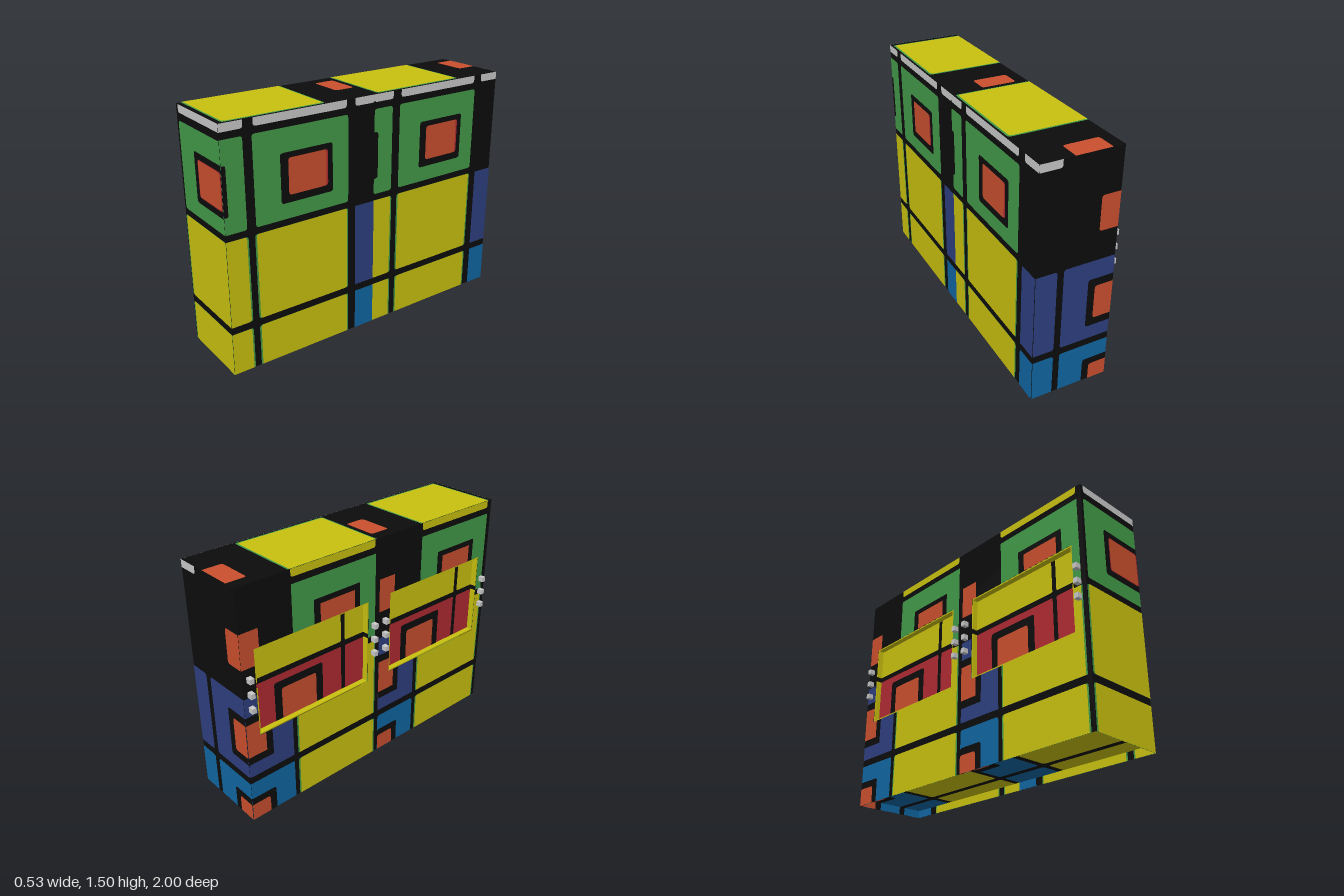
import * as THREE from 'three';

const material = (name, color) => {
  const m = new THREE.MeshStandardMaterial({ color, side: THREE.DoubleSide });
  m.name = name;
  return m;
};

const X0 = -0.232, X1 = 0.262, Z = 0.997, TOP = 1.497, FLOOR = 0.05, PANEL = -0.195;
const WINDOW = [0.09, 0.91, 0.57, 1.12]; // recess within each unit of the left side

export function createModel() {
  const model = new THREE.Group();
  model.name = 'patchworkCabinet';
  const black = material('black', 0x0c0c0c), yellow = material('yellow', 0xc9c10f);
  const green = material('green', 0x429a48), red = material('orangeRed', 0xca4f2e);
  const darkRed = material('darkRed', 0xb02a32), navy = material('navy', 0x2d3f80);
  const blue = material('blue', 0x1066a2), grey = material('lightGrey', 0xc8c8c8);

  const add = (geometry, mat, name, parent = model) => {
    const mesh = new THREE.Mesh(geometry, mat);
    mesh.name = name;
    parent.add(mesh);
    return mesh;
  };
  const box = (name, mat, x0, x1, y0, y1, z0, z1) =>
    add(new THREE.BoxGeometry(x1 - x0, y1 - y0, z1 - z0), mat, name)
      .position.set((x0 + x1) / 2, (y0 + y1) / 2, (z0 + z1) / 2);

  // A face is a plane with its own a (right), b (up) axes, outward normal and limits
  const face = (name, A, B, dist, a0, a1, b0, b1, skirt = false) => {
    const va = new THREE.Vector3(...A), vb = new THREE.Vector3(...B);
    const n = va.clone().cross(vb);
    const group = new THREE.Group();
    group.name = name;
    group.applyMatrix4(new THREE.Matrix4().makeBasis(va, vb, n).setPosition(n.multiplyScalar(dist)));
    model.add(group);
    return { name, group, lim: [a0, a1, b0, b1], skirt };
  };

  // Flat tile, rounded only at corners that lie inside its face
  const tile = (f, mat, a0, a1, b0, b1, layer = 1, radius = 0.018) => {
    const [l0, l1, m0, m1] = f.lim;
    a0 = Math.max(a0, l0); a1 = Math.min(a1, l1);
    b0 = Math.max(b0, m0); b1 = Math.min(b1, m1);
    if (a1 - a0 < 0.001 || b1 - b0 < 0.001) return;
    const r = Math.min(radius, (a1 - a0) / 2, (b1 - b0) / 2);
    const corner = (a, b) => (a <= l0 || a >= l1 || b <= m0 || b >= m1 ? 0 : r);
    const r00 = corner(a0, b0), r10 = corner(a1, b0), r11 = corner(a1, b1), r01 = corner(a0, b1);
    const s = new THREE.Shape();
    s.moveTo(a0 + r00, b0);
    s.lineTo(a1 - r10, b0);
    if (r10) s.quadraticCurveTo(a1, b0, a1, b0 + r10);
    s.lineTo(a1, b1 - r11);
    if (r11) s.quadraticCurveTo(a1, b1, a1 - r11, b1);
    s.lineTo(a0 + r01, b1);
    if (r01) s.quadraticCurveTo(a0, b1, a0, b1 - r01);
    s.lineTo(a0, b0 + r00);
    if (r00) s.quadraticCurveTo(a0, b0, a0 + r00, b0);
    add(new THREE.ShapeGeometry(s, 4), mat, mat.name + 'Tile', f.group).position.z = layer * 0.001;
    // the same colour shows on the inside of the open skirt
    if (f.skirt && b0 <= 0 && b1 > FLOOR && layer > 0) {
      add(new THREE.PlaneGeometry(a1 - a0, FLOOR), mat, mat.name + 'SkirtInside', f.group)
        .position.set((a0 + a1) / 2, FLOOR / 2, -layer * 0.001);
    }
  };
  // Yellow tile with a thin green fringe at both ends
  const fringed = (f, a0, a1, b0, b1) => {
    tile(f, green, a0 - 0.01, a1 + 0.01, b0, b1, 1);
    tile(f, yellow, a0, a1, b0, b1, 2);
  };

  // Faces
  const right = face('rightSide', [0, 0, -1], [0, 1, 0], X1, -Z, Z, 0, TOP, true);
  const front = face('frontSide', [1, 0, 0], [0, 1, 0], Z, X0, X1, 0, TOP, true);
  const back = face('backSide', [-1, 0, 0], [0, 1, 0], Z, -X1, -X0, 0, TOP, true);
  const left = face('leftSide', [0, 0, 1], [0, 1, 0], -X0, -Z, Z, 0, TOP, true);
  const top = face('topSide', [1, 0, 0], [0, 0, -1], TOP, X0, X1, -Z, Z);
  const under = face('underside', [1, 0, 0], [0, 0, 1], -FLOOR, X0, X1, -Z, Z);
  const panel = face('windowPanels', [0, 0, 1], [0, 1, 0], -PANEL, -Z, Z, 0, TOP);

  // Body core, open skirt around the raised floor
  box('body', black, PANEL, X1, FLOOR, TOP, -Z, Z);
  for (const f of [right, front, back, left]) tile(f, black, -2, 2, 0, FLOOR, 0, 0);

  // Left wall with two window openings
  const wall = new THREE.Shape([[-Z, FLOOR], [Z, FLOOR], [Z, TOP], [-Z, TOP]].map(p => new THREE.Vector2(...p)));
  const [w0, w1, h0, h1] = WINDOW;
  for (const o of [-1, 0]) {
    wall.holes.push(new THREE.Path([[w0 + o, h0], [w0 + o, h1], [w1 + o, h1], [w1 + o, h0]].map(p => new THREE.Vector2(...p))));
  }
  add(new THREE.ExtrudeGeometry(wall, { depth: PANEL - X0, bevelEnabled: false }), black, 'leftWall', panel.group);

  // Tile on the left wall, cut around the window
  const leftTile = (o, mat, a0, a1, b0, b1, layer = 1) => {
    if (a1 <= w0 || a0 >= w1 || b1 <= h0 || b0 >= h1) return tile(left, mat, a0 + o, a1 + o, b0, b1, layer);
    const lo = Math.max(b0, h0), hi = Math.min(b1, h1);
    const parts = [[a0, a1, b0, h0], [a0, a1, h1, b1], [a0, w0, lo, hi], [w1, a1, lo, hi]];
    for (const [p, q, r, s] of parts) if (q > p && s > r) tile(left, mat, p + o, q + o, r, s, layer, 0);
  };

  const rows = [[0, 0.265], [0.31, 0.84]];

  // Patterns that repeat every unit along the length
  for (const o of [-1, 0]) {
    // right side
    for (const [b0, b1] of rows) {
      fringed(right, o - 0.01, o + 0.13, b0, b1);
      fringed(right, o + 0.19, o + 0.8, b0, b1);
    }
    tile(right, blue, o + 0.86, o + 1, 0, 0.265, 3, 0);
    tile(right, navy, o + 0.86, o + 1, 0.31, 0.84, 3, 0);
    tile(right, green, o, o + 0.135, 0.88, 1.41);
    tile(right, black, o - 0.01, o + 0.028, 0.98, 1.27, 2);
    tile(right, green, o + 0.19, o + 0.81, 0.88, 1.41);
    tile(right, black, o + 0.355, o + 0.7, 0.975, 1.27, 2);
    tile(right, darkRed, o + 0.405, o + 0.667, 1.02, 1.237, 3);
    tile(right, red, o + 0.405, o + 0.655, 1.02, 1.237, 4);
    for (const [p, q] of [[0, 0.14], [0.2, 0.8], [0.86, 1]]) tile(right, grey, o + p, o + q, 1.45, 1.5);

    // top
    tile(top, green, -0.3, 0.25, o + 0.03, o + 0.665);
    tile(top, yellow, -0.3, 0.238, o + 0.04, o + 0.655, 2);
    tile(top, red, -0.16, 0.06, o + 0.87, o + 1);

    // left side
    leftTile(o, yellow, 0.35, 0.96, 1.45, 1.5);
    leftTile(o, red, 0, 0.125, 1.02, 1.235);
    leftTile(o, green, 0.35, 0.965, 0.88, 1.41);
    leftTile(o, black, 0.5, 0.84, 0.975, 1.27, 2);
    leftTile(o, red, 0.545, 0.8, 1.02, 1.235, 3);
    for (const [i, [b0, b1]] of rows.entries()) {
      leftTile(o, green, 0.35, 0.97, b0, b1);
      leftTile(o, yellow, 0.36, 0.96, b0, b1, 2);
      leftTile(o, i ? navy : blue, 0, 0.32, b0, b1);
    }
    leftTile(o, black, 0, 0.175, 0.4, 0.72, 2);
    leftTile(o, red, 0, 0.13, 0.45, 0.67, 3);
    leftTile(o, black, 0, 0.175, 0, 0.155, 2);
    leftTile(o, red, 0, 0.13, 0, 0.11, 3);

    // recessed window panel and its yellow rim
    for (const [p, q] of [[w0, 0.725], [0.755, w1]]) {
      tile(panel, yellow, o + p, o + q, 0.91, h1, 1, 0.01);
      tile(panel, darkRed, o + p, o + q, h0, 0.875, 1, 0.01);
    }
    tile(panel, black, o + 0.23, o + 0.58, h0, 0.83, 2);
    tile(panel, red, o + 0.28, o + 0.53, h0, 0.78, 3);
    const t = 0.008, rim = (z0, z1, y0, y1) => box('windowRim', yellow, X0, PANEL, y0, y1, z0 + o, z1 + o);
    rim(w0, w1, h0, h0 + t);
    rim(w0, w1, h1 - t, h1);
    for (const z of [w0, w1 - t]) {
      rim(z, z + t, h0, 0.875);
      rim(z, z + t, 0.91, h1);
    }

    // underside
    for (const [p, q] of [[-0.3, 0.09], [0.13, 0.3]]) {
      tile(under, yellow, p, q, o + 0.36, o + 0.965);
      tile(under, blue, p, q, o, o + 0.32);
    }
    tile(under, black, -0.3, -0.07, o, o + 0.175, 2);
    tile(under, red, -0.3, -0.115, o, o + 0.13, 3);
  }

  // Front side
  for (const [b0, b1] of rows) {
    tile(front, green, -0.225, 0.3, b0, b1);
    tile(front, yellow, -0.214, 0.3, b0, b1, 2);
  }
  tile(front, green, -0.214, 0.3, 0.88, 1.405);
  tile(front, black, -0.045, 0.3, 0.975, 1.275, 2);
  tile(front, darkRed, -0.006, 0.26, 1.015, 1.238, 3);
  tile(front, red, 0, 0.252, 1.02, 1.233, 4);
  tile(front, grey, -0.21, 0.3, 1.45, 1.5);

  // Back side
  for (const [i, [b0, b1]] of rows.entries()) {
    tile(back, i ? navy : blue, -0.3, -0.13, b0, b1);
    tile(back, i ? navy : blue, -0.09, 0.3, b0, b1);
  }
  tile(back, grey, -0.3, -0.13, 1.45, 1.5);
  tile(back, red, 0.115, 0.3, 1.02, 1.235);
  for (const [b0, b1, c0, c1] of [[0.4, 0.72, 0.45, 0.67], [0, 0.155, 0, 0.11]]) {
    tile(back, black, 0.07, 0.3, b0, b1, 2);
    tile(back, red, 0.115, 0.3, c0, c1, 3);
  }

  // Small knobs beside the windows
  for (const z of [-0.955, -0.05, 0.042, 0.95]) {
    for (const y of [0.768, 0.862, 0.955]) {
      box('knob', grey, -0.267, X0, y - 0.016, y + 0.016, z - 0.014, z + 0.014);
    }
  }
  return model;
}
